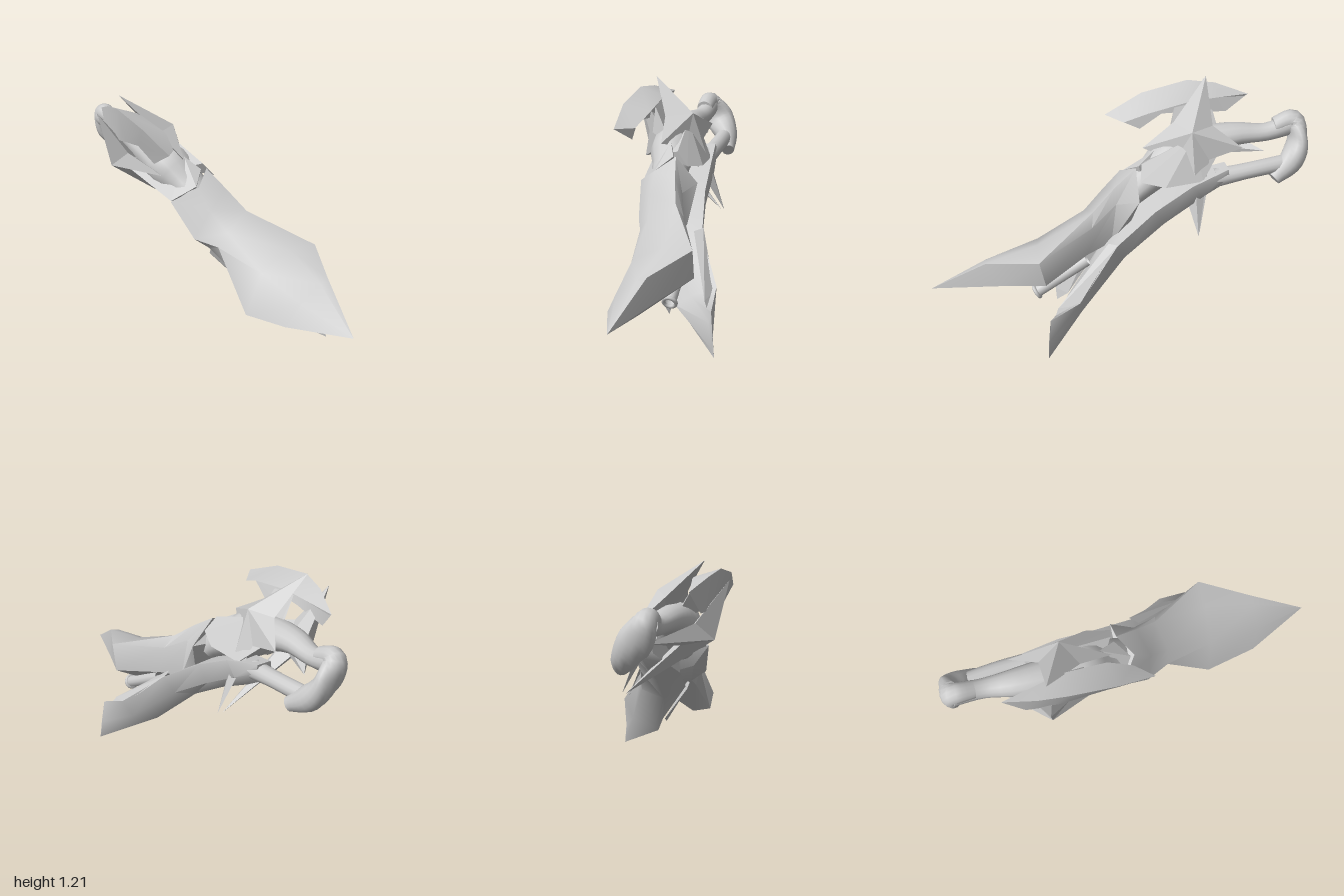
import * as THREE from 'three';
import { toCreasedNormals } from 'three/addons/utils/BufferGeometryUtils.js';
import { ConvexGeometry } from 'three/addons/geometries/ConvexGeometry.js';

const material = new THREE.MeshStandardMaterial({ color: 0xcccccc, side: THREE.DoubleSide });
const V = ([x, y, z]) => new THREE.Vector3(x, y, z);

function part(name, geometry) {
  const mesh = new THREE.Mesh(geometry, material);
  mesh.name = name;
  return mesh;
}

// Skins a list of cross-sections; closed sections wrap round and get end caps.
function loft(sections, closed = true, crease = 0.6) {
  const n = sections[0].length, pos = sections.flat(2), index = [];
  for (let s = 0; s < sections.length - 1; s++) {
    for (let i = 0; i < (closed ? n : n - 1); i++) {
      const a = s * n + i, b = s * n + (i + 1) % n;
      index.push(a, b, a + n, b, b + n, a + n);
    }
  }
  if (closed) {
    const e = (sections.length - 1) * n;
    for (let i = 1; i < n - 1; i++) index.push(0, i + 1, i, e, e + i, e + i + 1);
  }
  const g = new THREE.BufferGeometry();
  g.setAttribute('position', new THREE.Float32BufferAttribute(pos, 3));
  g.setIndex(index);
  return toCreasedNormals(g, crease);
}

// A limb of oval section; each knot is [x, y, z, radius in the xy plane, radius in z].
function limb(knots, steps = 20, sides = 14) {
  const path = new THREE.CatmullRomCurve3(knots.map(V));
  const size = new THREE.CatmullRomCurve3(knots.map(k => new THREE.Vector3(k[3], k[4], 0)));
  const side = new THREE.Vector3(0, 0, 1), sections = [];
  for (let s = 0; s <= steps; s++) {
    const t = s / steps, p = path.getPoint(t), r = size.getPoint(t), d = path.getTangent(t);
    const up = new THREE.Vector3().crossVectors(side, d).normalize();
    const out = new THREE.Vector3().crossVectors(d, up);
    sections.push(Array.from({ length: sides }, (_, i) => {
      const a = i / sides * Math.PI * 2;
      return p.clone().addScaledVector(up, Math.cos(a) * r.x)
        .addScaledVector(out, Math.sin(a) * r.y).toArray();
    }));
  }
  return loft(sections, true, 0.9);
}

const hull = points => new ConvexGeometry(points.map(V));

// Four-pointed star with a raised outer apex and a shallow inner one.
function star(apex, inner, tips, waist) {
  const c = V(apex).lerp(V(inner), 0.5), t = tips.map(V), rim = [];
  t.forEach((p, i) => {
    const q = t[(i + 1) % 4];
    const d = p.clone().sub(c).normalize().add(q.clone().sub(c).normalize());
    rim.push(p, c.clone().addScaledVector(d.normalize(), waist));
  });
  const pos = [];
  rim.forEach((p, i) => {
    const q = rim[(i + 1) % 8];
    pos.push(...apex, ...p.toArray(), ...q.toArray(), ...inner, ...q.toArray(), ...p.toArray());
  });
  const g = new THREE.BufferGeometry();
  g.setAttribute('position', new THREE.Float32BufferAttribute(pos, 3));
  g.computeVertexNormals();
  return g;
}

// Straight open cylinder between two points.
function pipe(a, b, radius) {
  const p = V(a), q = V(b), g = new THREE.CylinderGeometry(radius, radius, p.distanceTo(q), 12, 1, true);
  g.applyQuaternion(new THREE.Quaternion().setFromUnitVectors(
    new THREE.Vector3(0, 1, 0), q.clone().sub(p).normalize()));
  return g.translate(...p.add(q).multiplyScalar(0.5).toArray());
}

export function createModel() {
  const model = new THREE.Group();
  const add = (name, geometry) => model.add(part(name, geometry));

  // Leaf-shaped shell: back edge, crest, flank, front edge, keel, back keel
  const tip = [1, 0.29, 0];
  add('bladeShell', loft([
    [[-0.08, 0.74, -0.12], [-0.09, 0.87, 0], [-0.03, 0.8, 0.1], [-0.13, 0.72, 0.205], [-0.08, 0.6, 0.12], [-0.03, 0.53, -0.06]],
    [[0.03, 0.71, -0.07], [0.03, 0.785, -0.03], [0.06, 0.7, 0.1], [0.02, 0.55, 0.17], [0.04, 0.49, 0.09], [0.06, 0.49, -0.09]],
    [[0.17, 0.62, -0.12], [0.15, 0.685, -0.07], [0.17, 0.6, 0.07], [0.15, 0.53, 0.12], [0.19, 0.43, 0.09], [0.2, 0.46, -0.13]],
    [[0.47, 0.55, -0.25], [0.45, 0.55, -0.1], [0.42, 0.46, 0.07], [0.39, 0.245, 0.14], [0.36, 0.235, 0.05], [0.44, 0.4, -0.25]],
    [[0.72, 0.48, -0.1], [0.72, 0.465, -0.05], [0.7, 0.38, 0.06], [0.66, 0.265, 0.12], [0.58, 0.225, 0], [0.66, 0.36, -0.15]],
    Array(6).fill(tip),
  ], true, 0.8));

  // Lower arm running from the spike up to the grip
  add('lowerArm', loft([
    [[0.44, 0.235, -0.337], [0.455, 0.1, -0.35], [0.46, 0.003, -0.36], [0.44, 0.04, -0.34], [0.42, 0.17, -0.32]],
    [[0.28, 0.31, -0.322], [0.26, 0.21, -0.27], [0.24, 0.15, -0.125], [0.3, 0.2, -0.11], [0.29, 0.25, -0.19]],
    [[0.08, 0.51, -0.19], [0.01, 0.44, -0.17], [-0.01, 0.4, -0.05], [0.03, 0.46, 0.06], [0.08, 0.5, -0.03]],
    [[-0.16, 0.68, -0.14], [-0.21, 0.59, -0.13], [-0.23, 0.545, -0.04], [-0.2, 0.59, 0.07], [-0.12, 0.66, 0.05]],
    [[-0.36, 0.79, -0.12], [-0.42, 0.72, -0.12], [-0.44, 0.665, -0.05], [-0.42, 0.69, 0.04], [-0.36, 0.78, 0.03]],
    [[-0.56, 0.845, -0.09], [-0.56, 0.8, -0.1], [-0.56, 0.745, -0.06], [-0.56, 0.77, 0], [-0.56, 0.84, -0.01]],
  ], true, 1.1));

  // Raised rails beside the channel, and the barrel between arm and shell
  add('channelRail', hull([[0.04, 0.48, 0.08], [0.1, 0.475, 0.06], [0.36, 0.225, -0.07],
    [0.36, 0.17, -0.1], [0.3, 0.2, -0.1], [0.02, 0.45, 0.07]]));
  add('channelRail', hull([[0.05, 0.54, -0.19], [0.09, 0.53, -0.15], [0.39, 0.27, -0.29],
    [0.41, 0.23, -0.31], [0.28, 0.29, -0.31]]));
  add('barrel', pipe([0.2, 0.43, -0.13], [0.47, 0.275, -0.135], 0.032));
  const muzzle = new THREE.TorusGeometry(0.032, 0.01, 8, 16);
  muzzle.rotateY(Math.PI / 2).rotateZ(-0.52).translate(0.47, 0.275, -0.135);
  add('muzzleRing', muzzle);

  // Grip: upper and lower bars joined by a hooked pommel
  add('upperBar', limb([[-0.95, 0.99, 0.045, 0.06, 0.055], [-0.8, 0.95, 0.05, 0.047, 0.05],
    [-0.62, 0.945, 0.08, 0.06, 0.075], [-0.4, 0.89, 0.09, 0.09, 0.1], [-0.2, 0.79, 0.06, 0.09, 0.1], [-0.06, 0.69, 0.04, 0.07, 0.09]]));
  add('lowerBar', limb([[-0.5, 0.78, -0.055, 0.05, 0.05], [-0.68, 0.805, -0.065, 0.042, 0.045],
    [-0.9, 0.82, -0.06, 0.045, 0.045]]));
  add('pommel', limb([[-0.84, 0.985, 0.05, 0.04, 0.045], [-0.94, 1.005, 0.045, 0.055, 0.055],
    [-0.955, 0.92, 0, 0.045, 0.085], [-0.91, 0.83, -0.06, 0.065, 0.065], [-0.805, 0.755, -0.1, 0.038, 0.035]]));

  // Faceted mid body, between the grip and the shell
  add('sidePanel', hull([[-0.36, 0.73, 0.14], [-0.14, 0.72, 0.195], [-0.05, 0.8, 0.1], [-0.11, 0.865, 0.02],
    [-0.2, 0.92, 0.06], [-0.5, 0.95, 0.13], [-0.52, 0.84, 0.22], [-0.3, 0.75, 0.05], [-0.15, 0.72, 0.02]]));
  add('spine', hull([[-0.55, 0.94, 0], [-0.4, 1, 0.02], [-0.12, 0.89, 0], [-0.1, 0.82, -0.06],
    [-0.22, 0.8, -0.11], [-0.42, 0.8, -0.1], [-0.5, 0.86, 0.08], [-0.2, 0.86, 0.1]]));

  // Star-shaped guards on the front and the back; their long points meet below
  add('frontStar', star([-0.53, 0.84, 0.29], [-0.48, 0.86, 0.15],
    [[-0.545, 1.13, 0.36], [-0.2, 0.84, 0.2], [-0.39, 0.52, -0.17], [-0.78, 0.86, 0.01]], 0.11));
  add('backStar', star([-0.38, 1.045, -0.01], [-0.38, 0.93, 0.03],
    [[-0.52, 1.215, 0.24], [-0.15, 0.92, 0.1], [-0.38, 0.52, -0.19], [-0.64, 0.94, -0.05]], 0.14));

  // Crescent fin over the top: inner edge, ridge and lower edge, with its bracket
  add('crescentFin', loft([
    [[-0.72, 1.09, 0.2], [-0.58, 1.11, 0.185], [-0.44, 1.12, 0.17], [-0.2, 1.07, 0.18], [-0.08, 1.01, 0.22]],
    [[-0.74, 1.1, 0.2], [-0.58, 1.15, 0.27], [-0.44, 1.165, 0.305], [-0.2, 1.11, 0.325], [0, 1.015, 0.31]],
    [[-0.64, 0.985, 0.24], [-0.52, 0.98, 0.265], [-0.42, 0.99, 0.275], [-0.3, 0.995, 0.28], [-0.18, 0.925, 0.27]],
  ], false));
  add('finBracket', hull([[-0.48, 1.1, 0.19], [-0.34, 1.08, 0.19], [-0.32, 0.94, 0.2], [-0.28, 0.88, 0.08],
    [-0.5, 0.9, 0.08], [-0.48, 1, 0.13]]));

  return model;
}
